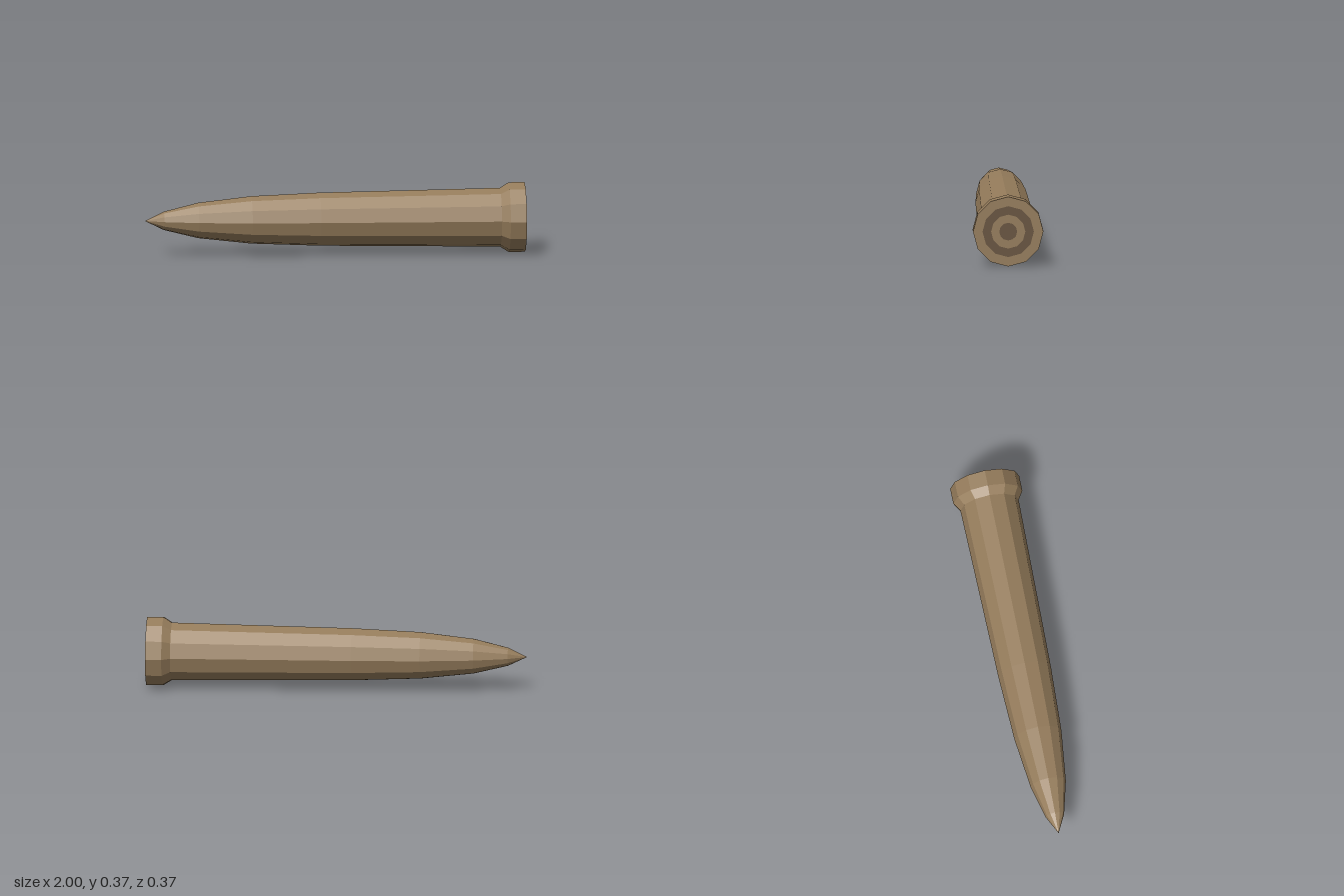
import * as THREE from 'three';

const SIDES = 12;
const RADIUS = 0.185;

function faceted(geometry) {
  const g = geometry.toNonIndexed();
  g.computeVertexNormals();
  return g;
}

export function createModel() {
  const group = new THREE.Group();
  group.name = 'spike';

  const lightTan = new THREE.MeshStandardMaterial({ color: 0x967d5c });
  lightTan.name = 'lightTan';
  const darkBrown = new THREE.MeshStandardMaterial({ color: 0x67533e });
  darkBrown.name = 'darkBrown';

  function add(name, geometry, material) {
    const mesh = new THREE.Mesh(geometry, material);
    mesh.name = name;
    mesh.position.y = RADIUS;
    group.add(mesh);
  }

  // Turned section, given as [radius, x], laid along the x axis
  function turned(points) {
    const profile = points.map(([r, x]) => new THREE.Vector2(r, x));
    return faceted(new THREE.LatheGeometry(profile, SIDES).rotateZ(-Math.PI / 2));
  }

  // Pointed shaft
  add('shaft', turned([
    [0, -1], [0.049, -0.9], [0.094, -0.72], [0.126, -0.44], [0.141, -0.08], [0.156, 0.87],
  ]), lightTan);

  // Flared collar at the blunt end
  add('collar', turned([[0.156, 0.87], [RADIUS, 0.915], [RADIUS, 1]]), lightTan);

  // Concentric bands on the flat end
  const radii = [0, 0.047, 0.09, 0.135, RADIUS];
  for (let i = 0; i < 4; i++) {
    const band = i === 0
      ? new THREE.CircleGeometry(radii[1], SIDES)
      : new THREE.RingGeometry(radii[i], radii[i + 1], SIDES);
    band.rotateY(Math.PI / 2).translate(1, 0, 0);
    add(`endBand${i + 1}`, band, i % 2 ? lightTan : darkBrown);
  }

  return group;
}
